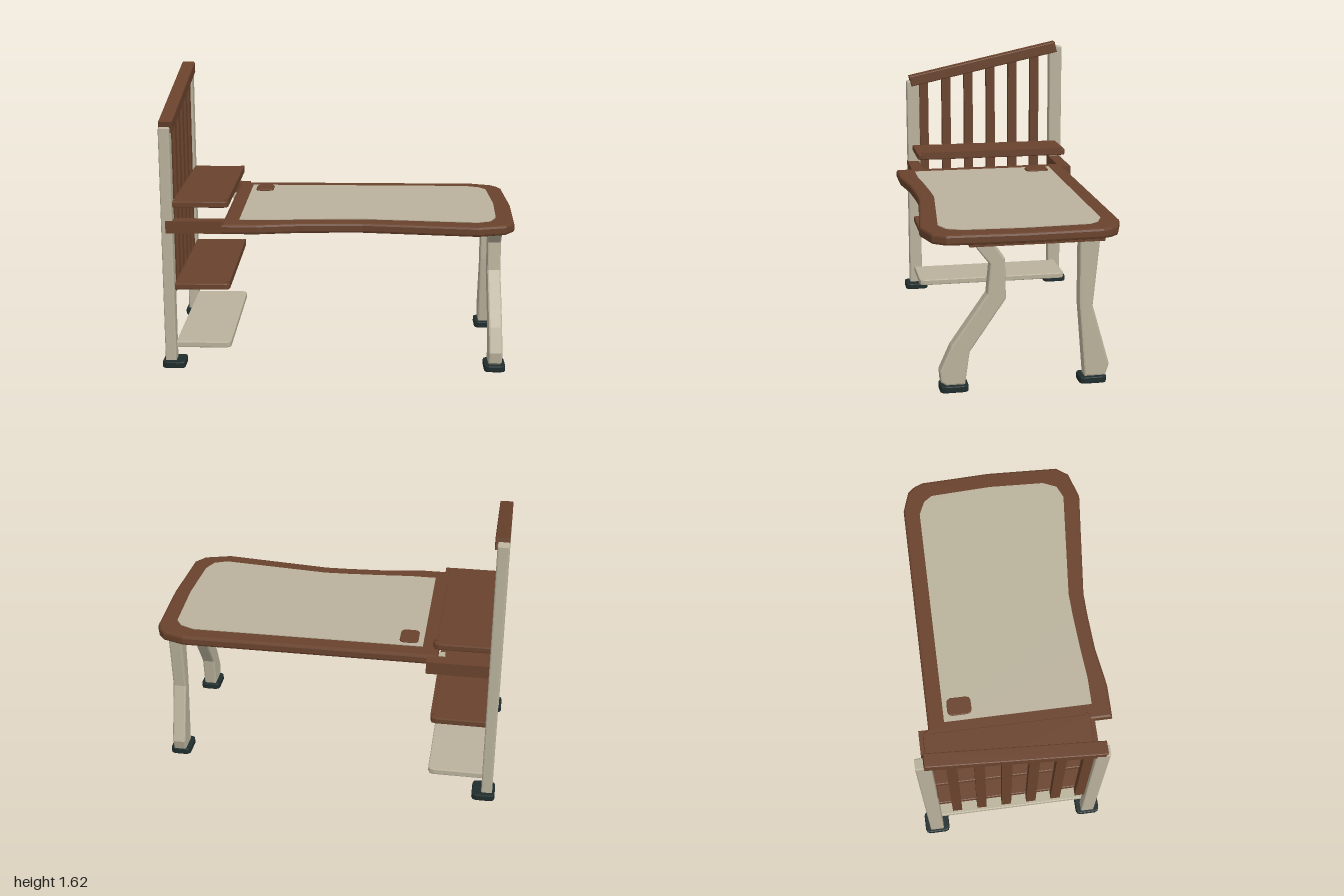
import * as THREE from 'three';

const brown = new THREE.MeshStandardMaterial({ name: 'brown wood', color: 0x69422c });
const beige = new THREE.MeshStandardMaterial({ name: 'beige paint', color: 0xbab29c });
const black = new THREE.MeshStandardMaterial({ name: 'dark rubber', color: 0x1f2c2d });

function extrude(points, depth, bevel) {
  const shape = new THREE.Shape(points.map(([a, b]) => new THREE.Vector2(a, b)));
  const g = new THREE.ExtrudeGeometry(shape, {
    depth: depth - 2 * bevel, bevelEnabled: bevel > 0, bevelThickness: bevel,
    bevelSize: bevel, bevelOffset: -bevel, bevelSegments: 2,
  });
  return g.translate(0, 0, bevel);
}

// Rectangle outline with cut corners
function cutRect(x0, x1, y0, y1, c) {
  return [[x0 + c, y0], [x1 - c, y0], [x1 - c * 0.3, y0 + c * 0.3], [x1, y0 + c],
    [x1, y1 - c], [x1 - c * 0.3, y1 - c * 0.3], [x1 - c, y1], [x0 + c, y1],
    [x0 + c * 0.3, y1 - c * 0.3], [x0, y1 - c], [x0, y0 + c], [x0 + c * 0.3, y0 + c * 0.3]];
}

export function createModel() {
  const model = new THREE.Group();
  model.name = 'deskWithShelves';

  const add = (name, geometry, material) => {
    const mesh = new THREE.Mesh(geometry, material);
    mesh.name = name;
    model.add(mesh);
    return mesh;
  };
  // Horizontal slab from an (x, z) outline
  const slab = (name, mat, pts, y0, y1, bevel) =>
    add(name, extrude(pts, y1 - y0, bevel).rotateX(Math.PI / 2).translate(0, y1, 0), mat);
  // Upright plate from a (z, y) outline
  const plate = (name, mat, pts, x0, x1, bevel) =>
    add(name, extrude(pts, x1 - x0, bevel).rotateY(-Math.PI / 2).translate(x1, 0, 0), mat);
  const box = (name, mat, x0, x1, y0, y1, z0, z1) =>
    add(name, new THREE.BoxGeometry(x1 - x0, y1 - y0, z1 - z0)
      .translate((x0 + x1) / 2, (y0 + y1) / 2, (z0 + z1) / 2), mat);

  // Desk top with wavy front edge
  slab('deskTop', brown, [[-0.635, -0.49], [0.81, -0.49], [0.93, -0.45], [0.965, -0.41], [0.985, -0.36],
    [0.998, 0.05], [0.98, 0.47], [0.93, 0.54], [0.775, 0.585], [0.14, 0.515], [0, 0.518], [-0.21, 0.53],
    [-0.44, 0.565], [-0.635, 0.565]], 0.815, 0.872, 0.014);
  slab('deskPanel', beige, [[-0.545, -0.395], [0.77, -0.395], [0.85, -0.36], [0.885, -0.31],
    [0.9, 0.05], [0.885, 0.375], [0.85, 0.455], [0.775, 0.487], [0.14, 0.425], [0, 0.43], [-0.21, 0.443],
    [-0.385, 0.458], [-0.545, 0.458]], 0.87, 0.876, 0);
  slab('cableCover', brown, cutRect(-0.515, -0.41, -0.37, -0.23, 0.025), 0.87, 0.884, 0.004);

  // Supports under the desk top
  box('backRail', beige, -0.67, 0.87, 0.785, 0.825, -0.4, -0.355);
  box('legBeam', brown, 0.85, 0.95, 0.795, 0.82, -0.377, 0.345);
  box('frontBracket', brown, -0.96, -0.58, 0.792, 0.862, 0.39, 0.463);
  box('backBracket', brown, -0.96, -0.577, 0.792, 0.865, -0.548, -0.475);

  // Bent legs
  plate('frontLeg', beige, [[0.32, 0.8], [0.235, 0.69], [0.25, 0.53], [0.445, 0.25], [0.505, 0.115],
    [0.5, 0.055], [0.47, 0.035], [0.37, 0.035], [0.345, 0.215], [0.15, 0.5], [0.155, 0.72], [0.21, 0.8]],
  0.858, 0.935, 0.01);
  plate('backLeg', beige, [[-0.245, 0.8], [-0.245, 0.45], [-0.28, 0.035], [-0.395, 0.035],
    [-0.415, 0.1], [-0.32, 0.435], [-0.355, 0.8]], 0.858, 0.935, 0.01);

  // Posts with sloping tops
  const post = (name, z0, z1, yFront, yBack) => plate(name, beige,
    [[z0, 0.03], [z1, 0.03], [z1, yFront], [z0, yBack]], -0.985, -0.922, 0.008);
  post('frontPost', 0.38, 0.46, 1.385, 1.405);
  post('backPost', -0.562, -0.48, 1.61, 1.59);

  // Feet
  for (const [x0, x1, z0, z1] of [[0.835, 0.955, 0.352, 0.505], [0.835, 0.955, -0.4, -0.25],
    [-1, -0.868, 0.35, 0.492], [-1, -0.868, -0.592, -0.445]]) {
    slab('foot', black, cutRect(x0, x1, z0, z1, 0.025), 0, 0.038, 0.006);
  }

  // Sloping top rail
  plate('topRail', brown, [[0.445, 1.42], [0.43, 1.355], [-0.528, 1.558], [-0.512, 1.625]], -0.985, -0.908, 0.006);

  // Upright slats reaching the rail
  for (let i = 0; i < 6; i++) {
    const z = 0.35 - i * 0.146, top = 1.46 - 0.212 * z;
    box('slat', brown, -0.965, -0.925, 0.42, top, z - 0.028, z + 0.028);
  }

  // Shelves, the upper two with a lip
  const shelfShape = [[-0.925, -0.522], [-0.64, -0.522], [-0.618, -0.514], [-0.61, -0.49],
    [-0.61, 0.4], [-0.618, 0.422], [-0.64, 0.43], [-0.925, 0.43]];
  for (const [name, mat, y] of [['upperShelf', brown, 0.932], ['middleShelf', brown, 0.453], ['lowerShelf', beige, 0.105]]) {
    slab(name, mat, shelfShape, y, y + 0.036, 0.006);
    if (mat === brown) box(name + 'Lip', brown, -0.632, -0.61, y + 0.02, y + 0.046, -0.49, 0.405);
  }
  return model;
}
